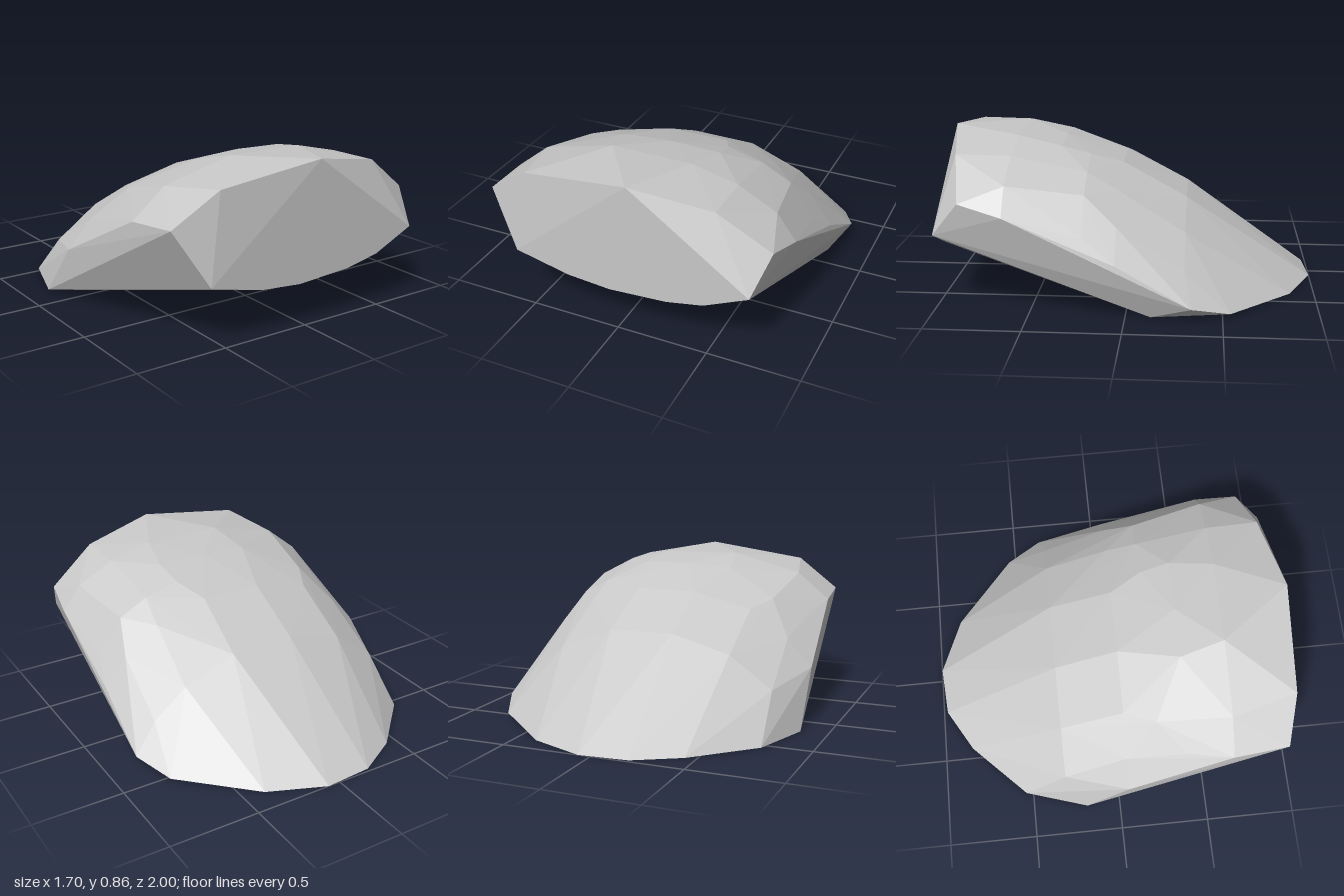
import * as THREE from 'three';
import { ConvexGeometry } from 'three/addons/geometries/ConvexGeometry.js';

export function createModel() {
  const group = new THREE.Group();
  group.name = 'boulder';
  const stone = new THREE.MeshStandardMaterial({ color: 0xc8c8c8, flatShading: true });
  stone.name = 'pale grey stone';

  const points = [];
  const add = (x, y, z) => points.push(new THREE.Vector3(x, y, z));

  // Sheer front face: [x, y] at z = 1
  for (const [x, y] of [[-0.585, 0.32], [-0.28, 0.25], [-0.04, 0.23], [0.28, 0.25],
    [0.48, 0.29], [0.72, 0.4], [0.075, 0.86]]) add(x, y, 1);

  // Chipped shoulders beside the front face: [x, y, z]
  for (const p of [[-0.515, 0.785, 0.97], [-0.76, 0.615, 0.92], [0.505, 0.78, 0.91],
    [0.78, 0.585, 0.85]]) add(...p);

  // Flat base outline: [x, z] at y = 0
  for (const [x, z] of [[-0.85, -0.19], [-0.74, -0.54], [-0.44, -0.84], [-0.2, -0.98],
    [0.07, -1], [0.38, -0.87], [0.77, -0.13], [0.52, 0.03], [0.3, 0.11], [0, 0.14],
    [-0.3, 0.1], [-0.6, -0.01]]) add(x, 0, z);

  // Low right corner
  add(0.75, 0.02, -0.54);
  add(0.845, 0.075, -0.34);

  // Rounded back, as arches from left to right: z, then [x, y]
  const arches = [
    [0.62, [[-0.785, 0.59], [-0.6, 0.74], [-0.2, 0.84], [0.25, 0.834], [0.5, 0.775], [0.71, 0.665], [0.815, 0.525]]],
    [0.38, [[-0.73, 0.55], [-0.52, 0.69], [-0.25, 0.78], [0.02, 0.798], [0.3, 0.79]]],
    [0.22, [[-0.56, 0.64], [0.28, 0.742], [0.48, 0.69], [0.64, 0.605], [0.78, 0.42]]],
    [0.05, [[-0.84, 0.3], [-0.7, 0.45], [-0.48, 0.6], [-0.15, 0.68], [0.2, 0.683], [0.5, 0.595], [0.7, 0.455], [0.825, 0.29]]],
    [-0.3, [[-0.72, 0.24], [-0.48, 0.41], [-0.15, 0.5], [0.22, 0.495], [0.52, 0.38], [0.71, 0.23]]],
  ];
  for (const [z, arch] of arches) for (const [x, y] of arch) add(x, y, z);

  const boulder = new THREE.Mesh(new ConvexGeometry(points), stone);
  boulder.name = 'facetedStone';
  group.add(boulder);
  return group;
}
